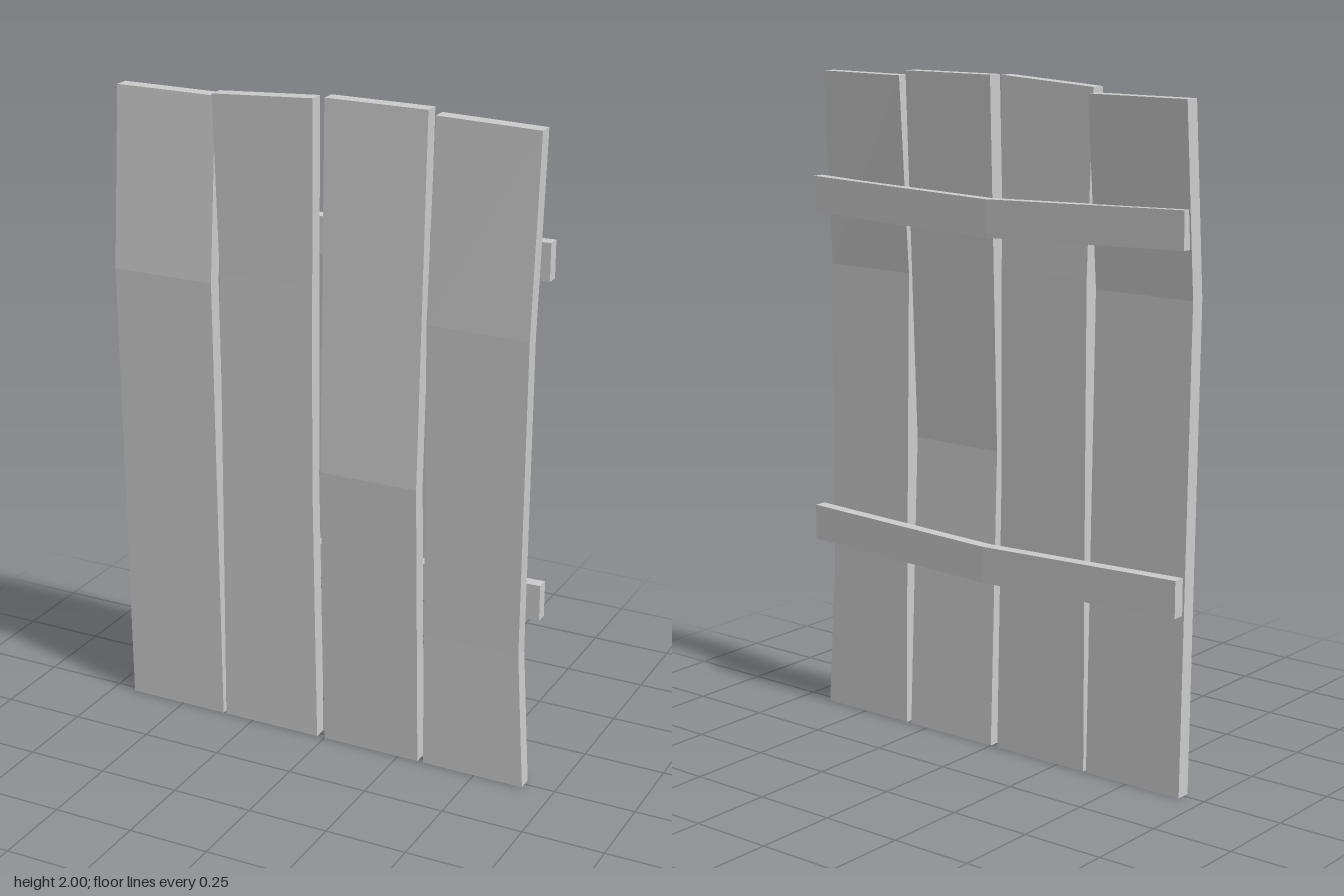
import * as THREE from 'three';

const material = new THREE.MeshStandardMaterial({ color: 0xcccccc, flatShading: true });

// Joins four-cornered cross-sections into a closed, flat-shaded board.
// Corners run counter-clockwise as seen from the end the sections move towards.
function board(name, sections) {
  const pos = [];
  const quad = (a, b, c, d) => pos.push(...a, ...b, ...c, ...a, ...c, ...d);
  for (let s = 0; s < sections.length - 1; s++) {
    const p = sections[s], q = sections[s + 1];
    for (let i = 0; i < 4; i++) {
      const j = (i + 1) % 4;
      quad(p[i], p[j], q[j], q[i]);
    }
  }
  const first = sections[0];
  quad(first[3], first[2], first[1], first[0]);
  quad(...sections[sections.length - 1]);
  const geometry = new THREE.BufferGeometry();
  geometry.setAttribute('position', new THREE.Float32BufferAttribute(pos, 3));
  geometry.computeVertexNormals();
  const mesh = new THREE.Mesh(geometry, material);
  mesh.name = name;
  return mesh;
}

// Upright plank: rows of [yLeft, yRight, xLeft, xRight, frontZLeft, frontZRight]
function plank(name, rows, t = 0.045) {
  return board(name, rows.map(([y0, y1, x0, x1, z0, z1]) => [
    [x0, y0, z0], [x1, y1, z1], [x1, y1, z1 - t], [x0, y0, z0 - t],
  ]));
}

// Cross batten: rows of [x, bottomY, frontZ]
function batten(name, rows, height = 0.11, t = 0.037) {
  return board(name, rows.map(([x, y, z]) => [
    [x, y, z], [x, y, z - t], [x, y + height, z - t], [x, y + height, z],
  ]));
}

export function createModel() {
  const group = new THREE.Group();
  group.name = 'plankPanel';

  // Four warped planks
  group.add(
    plank('outerPlankRight', [
      [0, 0, -0.68, -0.355, 0.02, 0.02],
      [1.42, 1.42, -0.68, -0.355, 0.047, 0.047],
      [1.965, 1.965, -0.68, -0.355, 0.003, 0.003],
    ]),
    plank('innerPlankRight', [
      [0, 0, -0.345, -0.025, 0.02, 0.02],
      [0.85, 0.85, -0.339, -0.037, 0.025, 0.025],
      [1.45, 1.45, -0.335, -0.033, 0.03, 0.03],
      [1.98, 2, -0.345, -0.025, 0.04, 0.04],
    ]),
    plank('innerPlankLeft', [
      [0, 0, 0, 0.315, 0.02, 0.02],
      [0.9, 0.9, 0.008, 0.315, 0.06, 0.06],
      [2, 2, 0, 0.315, 0.018, 0.018],
    ]),
    plank('outerPlankLeft', [
      [0, 0, 0.333, 0.655, 0.02, 0.02],
      [0.43, 0.43, 0.333, 0.632, 0.027, 0.027],
      [1.4, 1.4, 0.333, 0.643, 0.047, 0.05],
      [1.985, 1.985, 0.333, 0.655, 0.01, 0.037],
    ]),
  );

  // Two battens across the back, bowed slightly at the middle
  group.add(
    batten('upperBatten', [[-0.675, 1.56, -0.002], [0, 1.54, -0.012], [0.675, 1.56, -0.002]]),
    batten('lowerBatten', [[-0.675, 0.535, -0.016], [0, 0.518, -0.026], [0.675, 0.535, -0.016]]),
  );
  return group;
}
